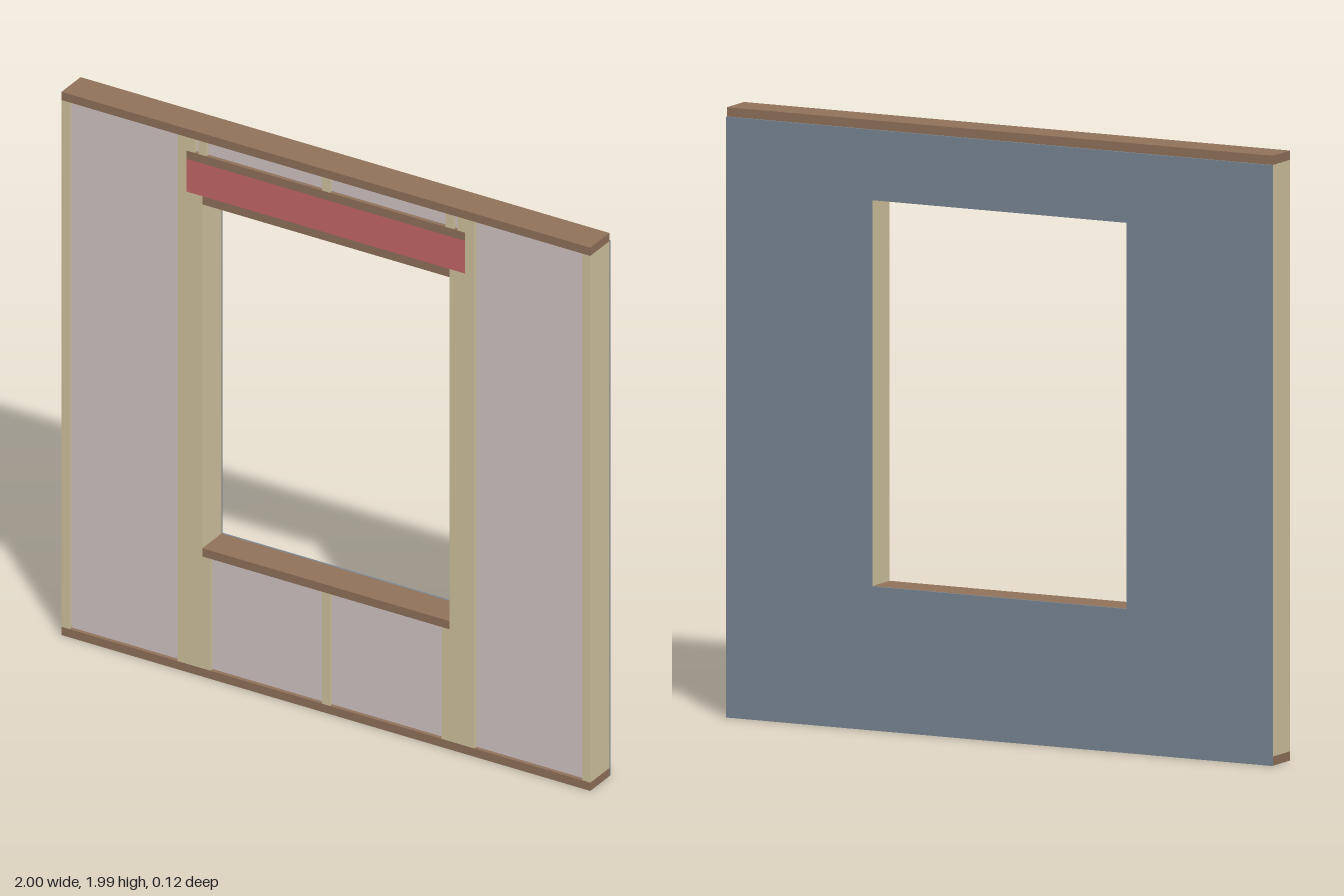
import * as THREE from 'three';

export function createModel() {
  const wall = new THREE.Group();
  wall.name = 'framedWall';

  const mat = (color) => new THREE.MeshStandardMaterial({ color });
  const plateMat = mat(0x93745c);
  const studMat = mat(0xd6c7a3);
  const headerMat = mat(0xc9696a);
  const battMat = mat(0xd9cacb);
  const sheathingMat = mat(0x7d8a96);

  const FRONT = 0.062, BACK = -0.055, SKIN = -0.062; // depth of frame and sheathing
  const T = 0.03;                                    // lumber thickness
  const TOP = 1.99, OPEN = 0.467, SILL = 0.47, HEAD = 1.73;

  // Box given by its limits
  function block(name, material, x0, x1, y0, y1, front = FRONT) {
    const mesh = new THREE.Mesh(new THREE.BoxGeometry(x1 - x0, y1 - y0, front - BACK), material);
    mesh.position.set((x0 + x1) / 2, (y0 + y1) / 2, (front + BACK) / 2);
    mesh.name = name;
    wall.add(mesh);
  }
  const mirrored = (name, material, x0, x1, y0, y1, front) => {
    block(name + 'Left', material, x0, x1, y0, y1, front);
    block(name + 'Right', material, -x1, -x0, y0, y1, front);
  };

  // Horizontal members
  block('bottomPlate', plateMat, -1, 1, 0, T);
  block('topPlate', plateMat, -1, 1, TOP - T, TOP);
  block('windowSill', plateMat, -OPEN, OPEN, SILL - T, SILL);
  block('headerBottomPlate', plateMat, -OPEN, OPEN, HEAD, HEAD + T);
  const king = OPEN + T;
  block('header', headerMat, -king - T, king + T, HEAD + T, 1.88);
  block('headerTopPlate', plateMat, -king - T, king + T, 1.88, 1.91);

  // Vertical members
  const top = TOP - T;
  mirrored('endStud', studMat, 1 - T, 1, T, top);
  mirrored('kingStud', studMat, king + T, king + 2 * T + 0.004, T, top);
  mirrored('outerTrimmer', studMat, king, king + T, T, HEAD + T);
  mirrored('innerTrimmer', studMat, OPEN, king, T, HEAD + T);
  mirrored('sillCripple', studMat, OPEN - T, OPEN, T, SILL - T);
  block('middleSillCripple', studMat, -T / 2, T / 2, T, SILL - T);
  mirrored('outerHeaderCripple', studMat, king, king + T, 1.91, top);
  mirrored('innerHeaderCripple', studMat, 0.452, 0.482, 1.91, top);
  block('middleHeaderCripple', studMat, -T / 2, T / 2, 1.91, top);

  // Insulation, set slightly back from the stud faces
  const recess = FRONT - 0.014;
  mirrored('sideInsulation', battMat, king + 2 * T + 0.004, 1 - T, T, top, recess);
  mirrored('sillInsulation', battMat, T / 2, OPEN - T, T, SILL - T, recess);
  mirrored('headerInsulation', battMat, T / 2, 0.452, 1.91, top, recess);
  mirrored('headerGapInsulation', battMat, 0.482, king, 1.91, top, recess);

  // Back sheathing with the window opening
  const rect = (P, x, y0, y1) => new P([
    new THREE.Vector2(-x, y0), new THREE.Vector2(x, y0),
    new THREE.Vector2(x, y1), new THREE.Vector2(-x, y1),
  ]);
  const panel = rect(THREE.Shape, 1, 0, top);
  panel.holes.push(rect(THREE.Path, OPEN, SILL, HEAD));
  const sheathing = new THREE.Mesh(
    new THREE.ExtrudeGeometry(panel, { depth: BACK - SKIN, bevelEnabled: false }), sheathingMat);
  sheathing.position.z = SKIN;
  sheathing.name = 'sheathing';
  wall.add(sheathing);

  return wall;
}
